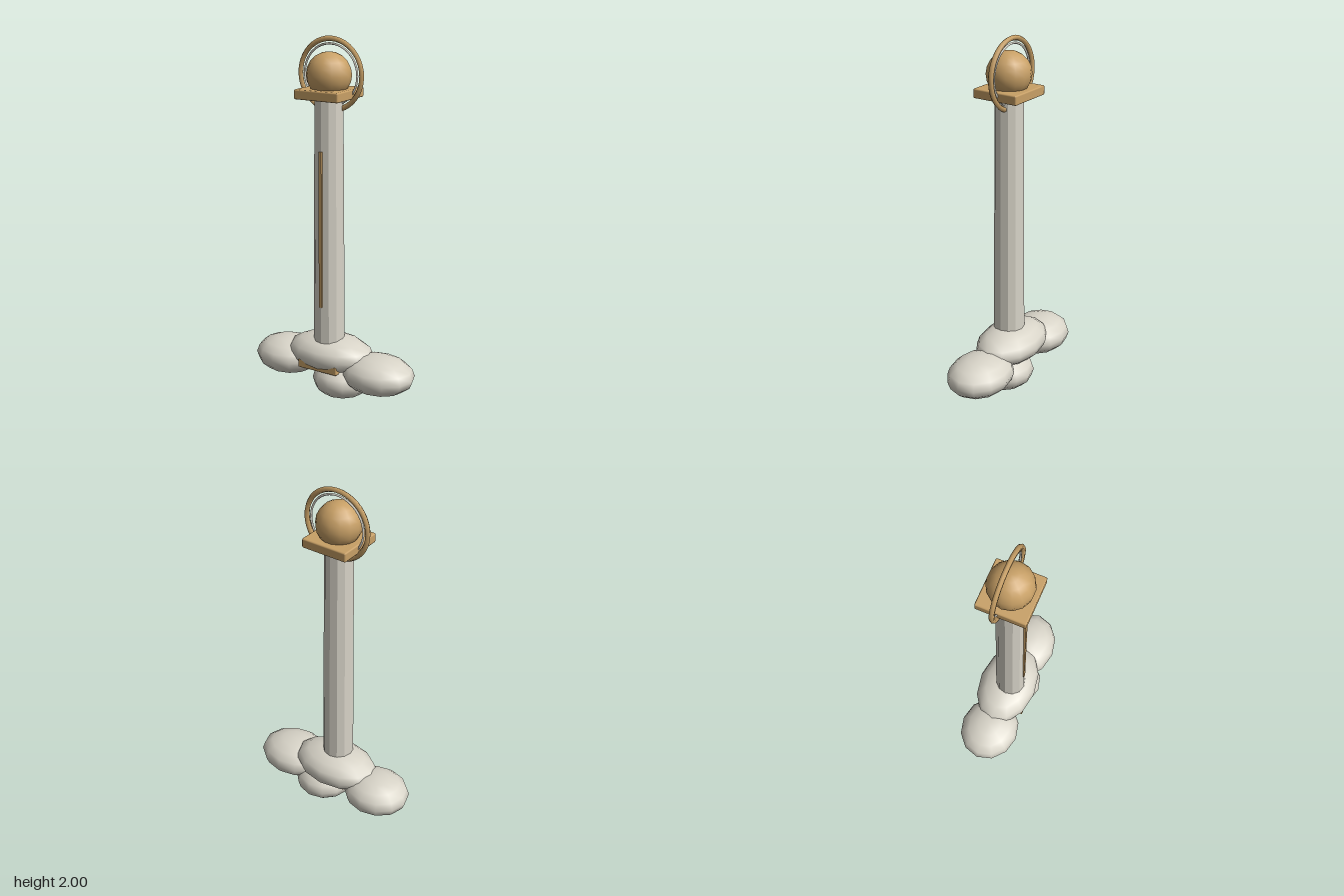
import * as THREE from 'three';
import { RoundedBoxGeometry } from 'three/addons/geometries/RoundedBoxGeometry.js';

export function createModel() {
  const group = new THREE.Group();
  const stone = new THREE.MeshStandardMaterial({ color: 0xd8d4c8 });
  stone.name = 'pale stone';
  const stoneFacet = stone.clone();
  stoneFacet.name = 'pale stone faceted';
  stoneFacet.flatShading = true;
  const gold = new THREE.MeshStandardMaterial({ color: 0xc8a066 });
  gold.name = 'warm gold';

  const add = (name, geometry, material, x, y, z) => {
    const mesh = new THREE.Mesh(geometry, material);
    mesh.name = name;
    mesh.position.set(x, y, z);
    group.add(mesh);
    return mesh;
  };
  const cx = -0.02, cz = 0.018; // axis of the pillar

  // Cloud base: flattened low-poly puffs [name, x, y, half width]
  const puffs = [
    ['cloudMain', cx, 0.245, 0.261],
    ['cloudRight', -0.302, 0.177, 0.194],
    ['cloudLeft', 0.281, 0.177, 0.214],
    ['cloudBottom', 0.06, 0.107, 0.17],
  ];
  for (const [name, x, y, rx] of puffs) {
    const geometry = new THREE.SphereGeometry(1, 12, 8).scale(rx, 0.107, 0.172);
    add(name, geometry, stone, x, y, 0);
  }

  // Tapered twelve-sided pillar with a thin inlay on its front
  add('pillar', new THREE.CylinderGeometry(0.076, 0.087, 1.45, 12), stoneFacet, cx, 0.975, cz);
  add('inlay', new THREE.BoxGeometry(0.018, 0.865, 0.02), gold, cx - 0.002, 0.972, 0.097);

  // Bevelled plates at the foot and top
  add('footPlate', new RoundedBoxGeometry(0.248, 0.05, 0.256, 1, 0.006), gold, cx - 0.003, 0.2, cz);
  add('capital', new RoundedBoxGeometry(0.268, 0.052, 0.268, 1, 0.008), gold, cx, 1.705, cz);

  // Orb and its two upright rings
  add('orb', new THREE.SphereGeometry(0.121, 14, 10), gold, cx, 1.8, cz);
  add('outerRing', new THREE.TorusGeometry(0.186, 0.014, 6, 40), gold, cx, 1.8, 0);
  add('innerRing', new THREE.TorusGeometry(0.16, 0.006, 6, 40), stone, cx, 1.8, 0);

  return group;
}
